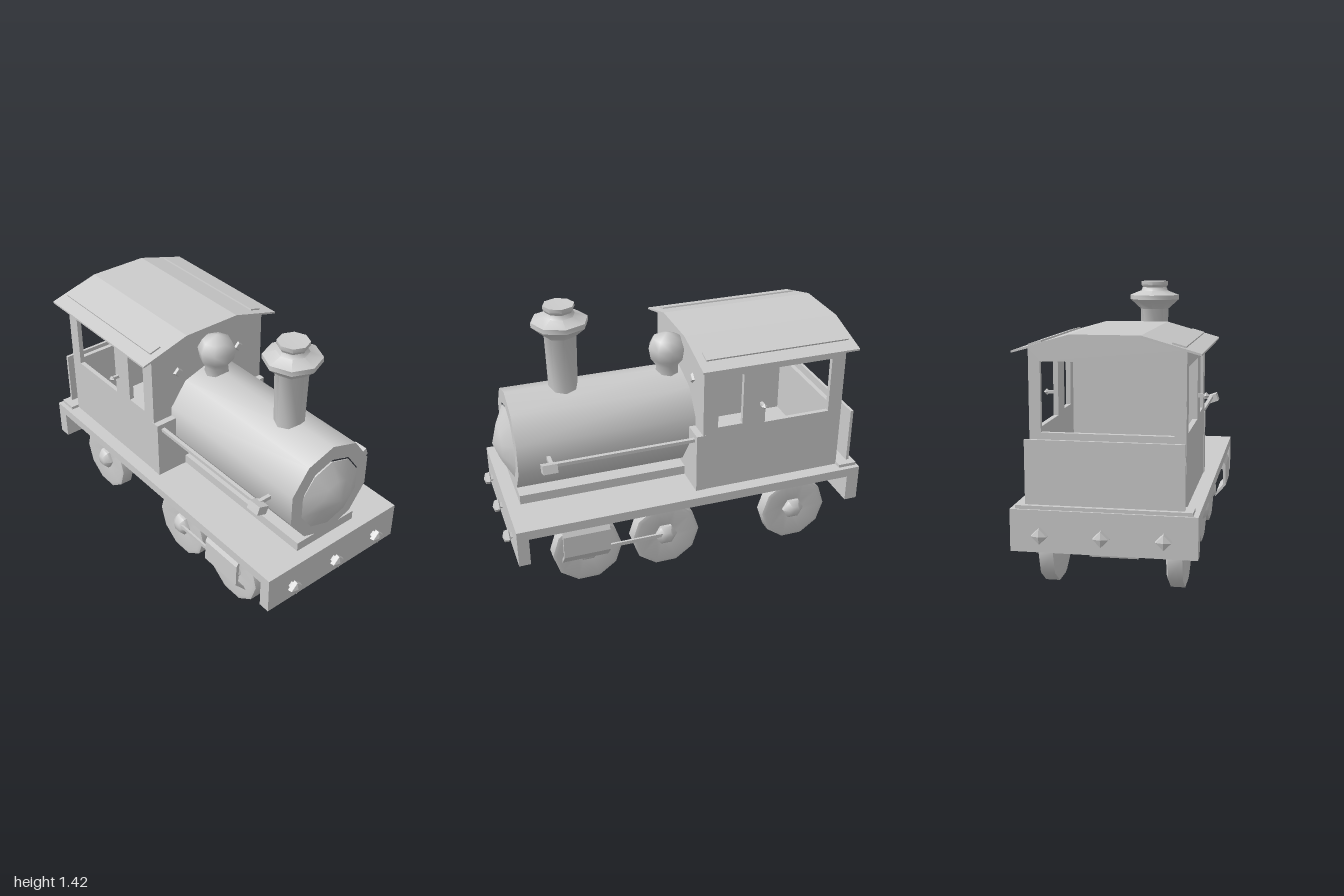
import * as THREE from 'three';
import { toCreasedNormals } from 'three/addons/utils/BufferGeometryUtils.js';

const grey = new THREE.MeshStandardMaterial({ color: 0xcccccc });
const thin = new THREE.MeshStandardMaterial({ color: 0xcccccc, side: THREE.DoubleSide });
const HALF = Math.PI / 2;

export function createModel() {
  const model = new THREE.Group();

  const add = (name, geo, x = 0, y = 0, z = 0, mat = grey) => {
    const mesh = new THREE.Mesh(geo, mat);
    mesh.name = name;
    mesh.position.set(x, y, z);
    model.add(mesh);
    return mesh;
  };
  // Box given by its limits on each axis
  const box = (name, x0, x1, y0, y1, z0, z1) =>
    add(name, new THREE.BoxGeometry(x1 - x0, y1 - y0, z1 - z0), (x0 + x1) / 2, (y0 + y1) / 2, (z0 + z1) / 2);
  // Turned part from [radius, height] pairs
  const lathe = (pts, sides, crease = 0.8) =>
    toCreasedNormals(new THREE.LatheGeometry(pts.map(p => new THREE.Vector2(...p)), sides), crease);
  const shape = (pts, holes = []) => {
    const s = new THREE.Shape(pts.map(p => new THREE.Vector2(...p)));
    s.holes = holes.map(h => new THREE.Path(h.map(p => new THREE.Vector2(...p))));
    return s;
  };
  const extrude = (s, depth) => new THREE.ExtrudeGeometry(s, { depth, bevelEnabled: false });
  // Outline drawn in (z, y), extruded across x and centred
  const across = (s, width) => extrude(s, width).rotateY(-HALF).translate(width / 2, 0, 0);
  const rect = (a, b, c, d) => [[a, c], [b, c], [b, d], [a, d]];

  // Deck with end beams and the inner frame
  add('deck', across(shape([
    [0.95, 0.44], [0.95, 0.24], [0.89, 0.24], [0.89, 0.39],
    [-0.87, 0.39], [-0.87, 0.24], [-0.94, 0.24], [-0.94, 0.44],
  ]), 0.87));
  box('innerFrame', -0.22, 0.22, 0.24, 0.39, -0.87, 0.89);

  // Studs on both end beams
  for (const end of [1, -1]) {
    for (const x of [-0.285, 0, 0.285]) {
      const stud = lathe([[0.02, -0.01], [0.02, 0.012], [0.04, 0.018], [0.036, 0.04], [0, 0.05]], 4, 0.3);
      add('beamStud', stud.rotateX(end * HALF), x, 0.33, end > 0 ? 0.95 : -0.94 - 0.01);
    }
  }

  // Wheels, axles and axle boxes
  const wheelGeo = lathe([
    [0, 0.265], [0.16, 0.265], [0.185, 0.275], [0.185, 0.345], [0.165, 0.35], [0.06, 0.335], [0, 0.335],
  ], 10, 0.7).rotateZ(-HALF);
  const hubGeo = lathe([[0.06, 0.33], [0.06, 0.352], [0.03, 0.378], [0, 0.38]], 6).rotateZ(-HALF);
  for (const z of [0.575, 0.145, -0.6]) {
    for (const side of [0, Math.PI]) {
      add('wheel', wheelGeo, 0, 0.185, z).rotation.y = side;
      add('wheelHub', hubGeo, 0, 0.185, z).rotation.y = side;
    }
    add('axle', new THREE.CylinderGeometry(0.024, 0.024, 0.56, 6).rotateZ(HALF), 0, 0.18, z);
    add('axleBox', across(shape([[-0.11, 0.25], [-0.08, 0.145], [0.08, 0.145], [0.11, 0.25]]), 0.24), 0, 0, z);
  }

  // Boiler with its conical door, lying along z
  add('boiler', lathe([[0, -0.06], [0.262, -0.06], [0.262, 0.885], [0.185, 0.885]], 10).rotateX(HALF), 0, 0.733, 0);
  add('boilerDoor', lathe([[0.19, 0.88], [0.19, 0.885], [0.1, 0.933], [0, 0.968]], 10).rotateX(HALF), 0, 0.715, 0);
  box('boilerSaddle', -0.19, 0.19, 0.44, 0.49, -0.03, 0.88);

  // Chimney and dome
  add('chimney', lathe([
    [0.075, 0.93], [0.083, 1.27], [0.145, 1.325], [0.145, 1.35], [0.08, 1.375],
    [0.07, 1.395], [0.08, 1.41], [0.08, 1.43], [0, 1.425],
  ], 8), 0, 0, 0.58);
  add('dome', lathe([
    [0.07, 0.93], [0.06, 1.02], [0.09, 1.06], [0.1, 1.12], [0.075, 1.17], [0, 1.2],
  ], 8, 1.2), 0, 0, 0.02);

  // Cab side walls with two openings
  const sideShape = shape(rect(-0.83, -0.05, 0.44, 1.175), [
    [[-0.265, 0.8], [-0.13, 0.8], [-0.13, 1.08], [-0.21, 1.1], [-0.265, 1.08]],
    [[-0.755, 0.785], [-0.39, 0.785], [-0.39, 1.09], [-0.755, 1.09]],
  ]);
  // Cab end walls following the roof line
  const endOutline = [[-0.365, 0.44], [0.365, 0.44], [0.365, 1.17], [0.16, 1.228], [-0.16, 1.228], [-0.365, 1.17]];
  add('cabFront', extrude(shape(endOutline), 0.02), 0, 0, -0.07);
  add('cabBack', extrude(shape(endOutline, [rect(-0.31, 0.31, 0.78, 1.11)]), 0.025), 0, 0, -0.832);
  box('cabFrontPanel', -0.368, 0.368, 0.44, 0.765, -0.065, -0.015);
  box('rearPlate', -0.37, 0.37, 0.44, 0.76, -0.908, -0.892);
  box('rearPlateFoot', -0.41, 0.41, 0.44, 0.457, -0.93, -0.83);

  // Bent roof sheet
  add('roof', extrude(shape([
    [-0.435, 1.15], [-0.163, 1.224], [0.163, 1.224], [0.435, 1.15],
    [0.435, 1.16], [0.163, 1.237], [-0.163, 1.237], [-0.435, 1.16],
  ]), 0.85), 0, 0, -0.868);

  // Paired parts on the left and right
  for (const s of [1, -1]) {
    add('cabSide', across(sideShape, 0.025), s * 0.353, 0, 0);
    const strip = add('roofStrip', new THREE.BoxGeometry(0.065, 0.01, 0.78), s * 0.33, 1.193, -0.45);
    strip.rotation.z = -s * 0.275;
    add('cabStud', lathe([[0.03, 0], [0.022, 0.012], [0, 0.014]], 4, 0.3).rotateX(HALF), s * 0.203, 1.02, -0.05);

    // Small side handle on the cab pillar
    box('handleArm', s * 0.385 - 0.025, s * 0.385 + 0.025, 0.892, 0.908, -0.373, -0.357);
    add('handleKnob', new THREE.OctahedronGeometry(0.018), s * 0.405, 0.9, -0.365);

    // Handrail along the boiler with a lamp at its front
    add('handrail', new THREE.BoxGeometry(0.02, 0.018, 0.74), s * 0.332, 0.73, 0.34);
    const lamp = add('railLamp', new THREE.BoxGeometry(0.06, 0.045, 0.075), s * 0.338, 0.718, 0.745);
    lamp.rotation.z = s * 0.35;
    box('railBracket', s * 0.295 - 0.045, s * 0.295 + 0.045, 0.715, 0.735, 0.72, 0.74);

    // Bent guard plate over the front wheel
    const guard = extrude(shape([
      [0.42, 0.395], [0.442, 0.36], [0.445, 0.24], [0.38, 0.165], [0.392, 0.165 + 0.035], [0.43, 0.245], [0.425, 0.35],
    ].map(([x, y]) => [s * x, y])), 0.245);
    add('wheelGuard', guard, 0, 0, 0.475, thin);

    // Rod joining the front two wheels
    add('couplingRod', new THREE.BoxGeometry(0.012, 0.02, 0.43), s * 0.365, 0.2, 0.36);
  }

  return model;
}
